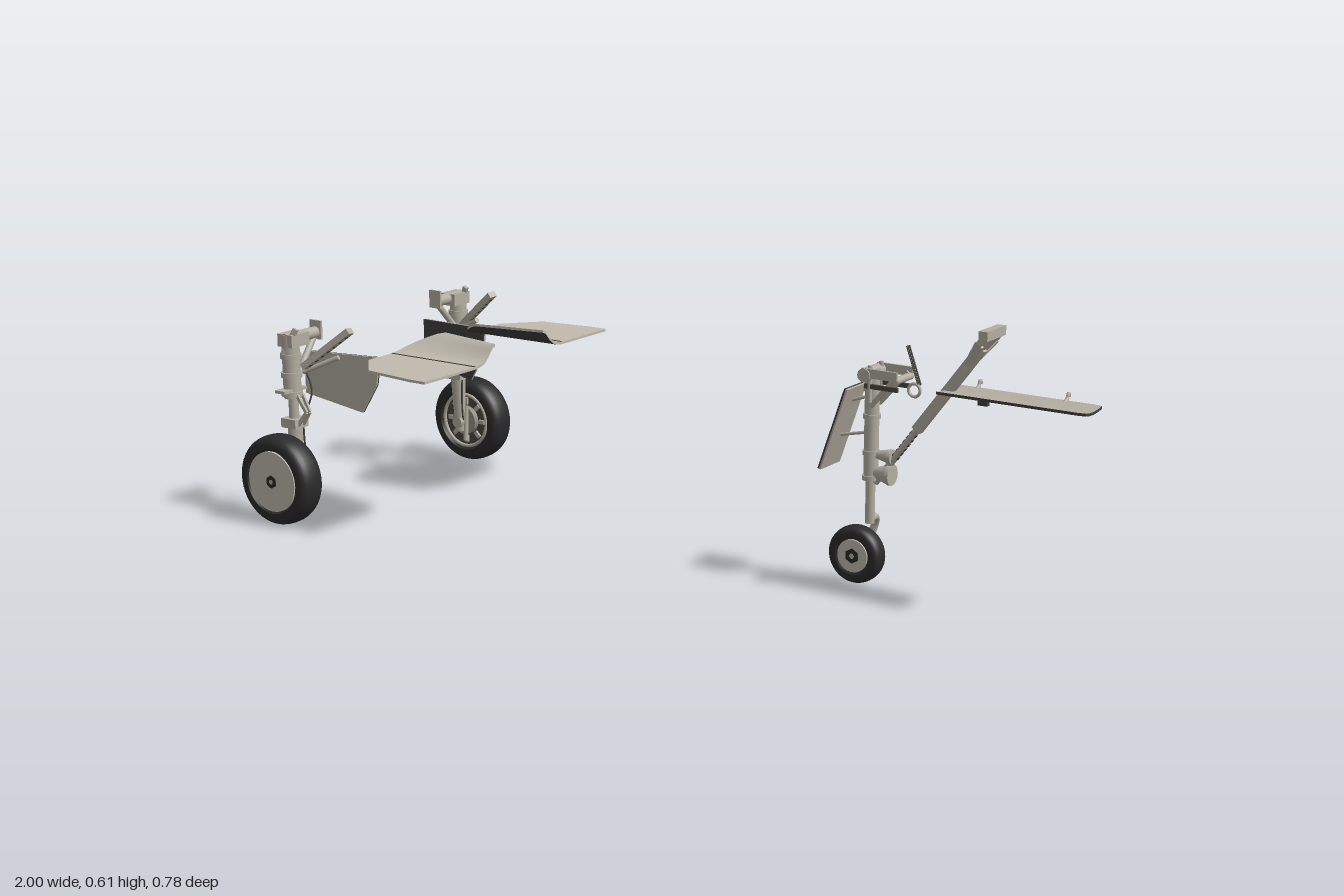
import * as THREE from 'three';

const mat = (name, color, side = THREE.FrontSide) => {
  const m = new THREE.MeshStandardMaterial({ color, side });
  m.name = name;
  return m;
};
const paint = mat('warm grey paint', 0xb4aea1, THREE.DoubleSide);
const pale = mat('pale grey paint', 0xc0baae, THREE.DoubleSide);
const darkSkin = mat('dark door skin', 0x3e3e3e, THREE.DoubleSide);
const rubber = mat('tyre rubber', 0x2a2a2a, THREE.DoubleSide);
const metal = mat('dark metal', 0x4a4843);
const steel = mat('grey steel', 0x958f83);

const V = (x, y, z) => new THREE.Vector3(x, y, z);

function add(parent, name, geo, material, p = [0, 0, 0], r = [0, 0, 0]) {
  const m = new THREE.Mesh(geo, material);
  m.name = name;
  m.position.set(...p);
  m.rotation.set(...r);
  parent.add(m);
  return m;
}
const box = (g, name, size, p, m = paint, r) => add(g, name, new THREE.BoxGeometry(...size), m, p, r);

// Round rod between two points
function rod(g, name, a, b, r, m = paint, r2 = r) {
  const A = V(...a), B = V(...b), d = B.clone().sub(A);
  const o = add(g, name, new THREE.CylinderGeometry(r2, r, d.length(), 16), m);
  o.position.copy(A).add(B).multiplyScalar(0.5);
  o.quaternion.setFromUnitVectors(V(0, 1, 0), d.normalize());
  return o;
}

// Flat link between two points; local z of the link stays near world z
function link(g, name, a, b, w, t, m = paint) {
  const A = V(...a), B = V(...b), y = B.clone().sub(A), len = y.length();
  y.normalize();
  const x = y.clone().cross(V(0, 0, 1)).normalize(), z = x.clone().cross(y);
  const o = add(g, name, new THREE.BoxGeometry(w, len, t), m);
  o.position.copy(A).add(B).multiplyScalar(0.5);
  o.quaternion.setFromRotationMatrix(new THREE.Matrix4().makeBasis(x, y, z));
  return o;
}

function tube(g, name, pts, r, m) {
  const c = new THREE.CatmullRomCurve3(pts.map(p => V(...p)));
  return add(g, name, new THREE.TubeGeometry(c, 20, r, 8), m);
}

// Surface through rows of points
function sheet(g, name, rows, m) {
  const n = rows[0].length, idx = [];
  for (let i = 0; i < rows.length - 1; i++)
    for (let j = 0; j < n - 1; j++) {
      const a = i * n + j, b = a + n;
      idx.push(a, a + 1, b, b, a + 1, b + 1);
    }
  const geo = new THREE.BufferGeometry();
  geo.setAttribute('position', new THREE.Float32BufferAttribute(rows.flat(2), 3));
  geo.setIndex(idx);
  geo.computeVertexNormals();
  return add(g, name, geo, m);
}

// Thin curved door closed by a rim; rows run so that the first face direction is up for s = 1
function curvedDoor(g, rows, top, rimMat, s) {
  const t = 0.003, lift = (p, d) => [p[0], p[1] + d, p[2]];
  const up = s > 0 ? rows : [...rows].reverse();
  sheet(g, 'doorInside', up.map(r => r.map(p => lift(p, t))), top);
  sheet(g, 'doorSkin', [...up].reverse().map(r => r.map(p => lift(p, -t))), darkSkin);
  const sides = [up[0], [...up.at(-1)].reverse(), up.map(r => r[0]).reverse(), up.map(r => r.at(-1))];
  for (const side of sides) sheet(g, 'doorRim', side.map(p => [lift(p, t), lift(p, -t)]), rimMat);
}

function plateGeo(pts, depth) {
  return new THREE.ExtrudeGeometry(new THREE.Shape(pts.map(p => new THREE.Vector2(...p))), { depth, bevelEnabled: false });
}

// Tyre with hub discs, axle along z; s is the outer side
function wheel(g, r, w, hub, cap, p, s) {
  const wg = new THREE.Group();
  wg.name = 'wheel';
  wg.position.set(...p);
  g.add(wg);
  const h = w / 2, prof = [[hub, -h * 0.8], [hub + 0.004, -h * 0.97]];
  const mid = r - h * 0.85;
  for (let i = 0; i <= 14; i++) {
    const a = -Math.PI / 2 + Math.PI * i / 14, c = Math.cos(a), q = Math.sin(a);
    prof.push([mid + (r - mid) * Math.pow(Math.max(c, 0), 0.65), h * Math.sign(q) * Math.pow(Math.abs(q), 0.8)]);
  }
  prof.push([hub + 0.004, h * 0.97], [hub, h * 0.8]);
  const P = prof.map(q => new THREE.Vector2(...q));
  add(wg, 'tyre', new THREE.LatheGeometry(P, 48), rubber, [0, 0, 0], [Math.PI / 2, 0, 0]);
  const disc = (name, rad, t, z, m, seg = 40) =>
    add(wg, name, new THREE.CylinderGeometry(rad, rad, t, seg), m, [0, 0, z * s], [Math.PI / 2, 0, 0]);
  disc('hubCore', hub * 1.01, w * 0.6, 0, metal);
  disc('hubCover', hub * 0.99, w * 0.1, h * 0.84, pale);
  disc('hubCap', cap, 0.003, h * 0.95, rubber, 6);
  disc('hubPin', cap * 0.35, 0.003, h * 0.97, paint, 12);
  // Brake unit on the inner side
  disc('brakeDisc', hub * 0.5, w * 0.3, -h * 0.7, steel);
  add(wg, 'rimRing', new THREE.TorusGeometry(hub * 0.93, hub * 0.06, 8, 40), paint, [0, 0, -h * 0.8 * s]);
  for (let i = 0; i < 8; i++) {
    const a = i * Math.PI / 4;
    box(wg, 'brakeBlock', [hub * 0.25, hub * 0.14, w * 0.12],
      [Math.cos(a) * hub * 0.68, Math.sin(a) * hub * 0.68, -h * 0.65 * s], paint, [0, 0, a]);
  }
}

function mainGear(s) {
  const g = new THREE.Group();
  g.name = s > 0 ? 'mainGearFrontSide' : 'mainGearBackSide';
  const X = -0.893, at = (x, y, z) => [x, y, z * s];
  wheel(g, 0.108, 0.072, 0.073, 0.016, at(X, 0.108, 0.354), s);
  rod(g, 'axle', at(X, 0.109, 0.29), at(X, 0.109, 0.345), 0.015);
  // Leg, clevis and shock strut
  rod(g, 'lowerLeg', at(X, 0.085, 0.305), at(X, 0.235, 0.299), 0.013, paint, 0.019);
  box(g, 'clevis', [0.045, 0.022, 0.045], at(X, 0.235, 0.302));
  rod(g, 'piston', at(X, 0.23, 0.303), at(X, 0.31, 0.303), 0.012);
  rod(g, 'shockStrut', at(X, 0.295, 0.305), at(X, 0.448, 0.306), 0.021);
  for (const y of [0.3, 0.345, 0.39])
    rod(g, 'collar', at(X, y, 0.306), at(X, y + 0.012, 0.306), 0.025);
  box(g, 'lug', [0.03, 0.007, 0.075], at(X, 0.315, 0.31));
  // Torque links
  for (const k of [-0.009, 0.009]) {
    link(g, 'torqueLinkUpper', at(X + 0.02, 0.305, 0.303 + k), at(X + 0.045, 0.265, 0.303 + k * 0.6), 0.008, 0.006);
    link(g, 'torqueLinkLower', at(X + 0.045, 0.265, 0.303 + k * 0.6), at(X + 0.015, 0.225, 0.303 + k), 0.008, 0.006);
  }
  rod(g, 'brakeRod', at(X + 0.015, 0.06, 0.306), at(X + 0.015, 0.15, 0.312), 0.006);
  tube(g, 'hydraulicHose', [at(X + 0.02, 0.37, 0.285), at(X + 0.035, 0.31, 0.277), at(X + 0.02, 0.24, 0.292), at(X + 0.018, 0.16, 0.291), at(X + 0.01, 0.1, 0.305)], 0.0022, metal);
  // Pivot crosstube with its end flange
  box(g, 'strutHead', [0.045, 0.03, 0.06], at(X, 0.434, 0.295));
  rod(g, 'pivotTube', at(X, 0.437, 0.325), at(X, 0.437, 0.217), 0.014);
  box(g, 'pivotFlange', [0.035, 0.045, 0.006], at(X, 0.443, 0.218));
  rod(g, 'sideBrace', at(X, 0.43, 0.225), at(X + 0.01, 0.335, 0.305), 0.008);
  // Folding drag brace with dark lightening holes
  const a = V(...at(-0.865, 0.37, 0.293)), b = V(...at(-0.745, 0.465, 0.262));
  const brace = link(g, 'dragBrace', a.toArray(), b.toArray(), 0.015, 0.022);
  for (let i = -3; i <= 3; i++)
    add(brace, 'braceHole', new THREE.CylinderGeometry(0.005, 0.005, 0.0165, 12), metal, [0, i * 0.02, 0], [0, 0, Math.PI / 2]);
  link(g, 'retractLink', at(-0.9, 0.4, 0.325), at(-0.87, 0.462, 0.31), 0.012, 0.009);
  rod(g, 'retractJack', at(-0.875, 0.355, 0.285), at(-0.79, 0.395, 0.255), 0.006);

  // Door beside the leg: pale outboard, dark inboard
  const door = new THREE.Group();
  door.name = 'legDoor';
  door.position.set(-0.825, 0, 0.206 * s);
  door.rotation.y = 0.11 * s;
  g.add(door);
  const outline = [[-0.105, 0.285], [0.058, 0.255], [0.1, 0.325], [0.11, 0.393], [-0.105, 0.388]];
  add(door, 'doorInside', plateGeo(outline, 0.005), paint, [0, 0, s > 0 ? 0 : -0.005]);
  add(door, 'doorSkin', plateGeo(outline, 0.004), darkSkin, [0, 0, s > 0 ? -0.004 : 0]);

  // Belly door: flat, then curling up towards the centre line, more tightly at its inboard end
  const bayDoor = new THREE.Group();
  bayDoor.name = 'bellyDoor';
  g.add(bayDoor);
  // x, z, y at the outboard end, then x, z at the inboard end
  const rows = [[-0.5, 0.342, 0.395, -0.455, 0.342], [-0.635, 0.325, 0.395, -0.455, 0.325], [-0.706, 0.245, 0.395, -0.455, 0.245],
    [-0.708, 0.162, 0.395, -0.455, 0.162], [-0.707, 0.138, 0.398, -0.455, 0.142], [-0.705, 0.118, 0.403, -0.455, 0.129],
    [-0.69, 0.096, 0.413, -0.455, 0.117], [-0.668, 0.079, 0.424, -0.455, 0.107], [-0.648, 0.067, 0.432, -0.455, 0.1], [-0.63, 0.058, 0.436, -0.455, 0.09]]
    .map(([x0, z0, y, x1, z1]) => [0, 0.25, 0.5, 0.75, 1].map(t => at(x0 + (x1 - x0) * t, y, z0 + (z1 - z0) * t)));
  // Rows run from high z to low z on the front side
  curvedDoor(bayDoor, rows, pale, pale, -s);
  rod(bayDoor, 'hingeLine', at(-0.706, 0.398, 0.163), at(-0.456, 0.398, 0.163), 0.0018, metal);
  return g;
}

function noseGear() {
  const g = new THREE.Group();
  g.name = 'noseGear';
  const X = 0.493;
  wheel(g, 0.064, 0.046, 0.037, 0.017, [0.463, 0.0735, 0], 1);
  // One-sided fork
  tube(g, 'fork', [[X, 0.155, 0.005], [X, 0.157, -0.022], [0.485, 0.14, -0.04], [0.475, 0.11, -0.04], [0.463, 0.065, -0.03]], 0.0085, paint);
  rod(g, 'axle', [0.463, 0.0735, -0.034], [0.463, 0.0735, 0.019], 0.008);
  // Strut
  rod(g, 'piston', [X, 0.148, 0], [X, 0.26, 0], 0.0105);
  rod(g, 'shockStrut', [X, 0.245, 0], [X, 0.49, 0], 0.016);
  for (const y of [0.245, 0.3, 0.38, 0.44]) rod(g, 'collar', [X, y, 0], [X, y + 0.01, 0], 0.019);
  // Head frame
  for (const s of [-1, 1]) {
    box(g, 'headPlate', [0.085, 0.02, 0.006], [0.528, 0.485, 0.034 * s]);
    box(g, 'headRail', [0.08, 0.01, 0.006], [0.528, 0.455, 0.025 * s], metal);
    link(g, 'headStrut', [0.5, 0.41, 0.018 * s], [0.565, 0.485, 0.024 * s], 0.01, 0.006);
    rod(g, 'steeringJack', [0.5, 0.42, 0.024 * s], [0.5, 0.5, 0.024 * s], 0.005);
  }
  rod(g, 'trunnion', [X, 0.48, -0.04], [X, 0.48, 0.04], 0.015);
  rod(g, 'crossPin', [0.565, 0.475, -0.035], [0.565, 0.475, 0.035], 0.008);
  for (const z of [-0.026, -0.02, -0.014]) rod(g, 'thinLever', [0.595, 0.46, z], [0.565, 0.543, z], 0.0015, metal);
  add(g, 'pulley', new THREE.TorusGeometry(0.014, 0.0035, 8, 20), paint, [0.585, 0.45, -0.015]);
  // Lamps
  for (const [y, r] of [[0.262, 0.023], [0.302, 0.016]]) {
    rod(g, 'lampBody', [0.505, y, 0], [0.54, y, 0], r * 0.5, paint, r);
    rod(g, 'lampFace', [0.538, y, 0], [0.546, y, 0], r);
  }
  // Long diagonal brace with flared top
  const A = V(0.505, 0.24, 0), B = V(0.775, 0.6, 0), along = t => A.clone().lerp(B, t).toArray();
  rod(g, 'braceRod', along(0), along(0.55), 0.0075);
  link(g, 'braceBeam', along(0.36), along(0.9), 0.022, 0.016);
  for (let i = 0; i < 6; i++)
    box(g, 'braceStud', [0.0155, 0.008, 0.008], along(0.18 + i * 0.03), metal, [0, 0, -0.64]);
  const yoke = new THREE.Group();
  yoke.name = 'braceYoke';
  yoke.position.copy(A.clone().lerp(B, 0.8));
  yoke.rotation.set(0, Math.PI / 2, 0);
  const lean = new THREE.Group();
  lean.name = 'yokeArms';
  lean.rotation.x = Math.atan2(0.27, 0.36);
  yoke.add(lean);
  g.add(yoke);
  add(lean, 'yokePlate', plateGeo([[-0.009, 0], [0.009, 0], [0.042, 0.065], [0.042, 0.085], [-0.042, 0.085], [-0.042, 0.065]], 0.012), paint, [0, 0, -0.006]);
  for (const s of [-1, 1]) box(lean, 'yokeRib', [0.006, 0.065, 0.02], [0.02 * s, 0.035, 0], paint, [0, 0, -0.47 * s]);
  box(g, 'yokeBar', [0.02, 0.02, 0.084], [0.77, 0.598, 0]);

  // Leg door behind the strut, leaning
  const door = new THREE.Group();
  door.name = 'legDoor';
  door.position.set(0.42, 0.353, 0);
  door.rotation.z = -0.33;
  g.add(door);
  box(door, 'doorInside', [0.004, 0.194, 0.082], [0.002, 0, 0]);
  box(door, 'doorSkin', [0.004, 0.194, 0.082], [-0.002, 0, 0], darkSkin);
  for (const y of [-0.02, 0.06]) rod(g, 'doorRod', [0.425 + y * 0.33, 0.353 + y, 0], [X, 0.37 + y, 0], 0.0035);

  // Forward bay door, slightly dished
  const bayDoor = new THREE.Group();
  bayDoor.name = 'forwardBayDoor';
  g.add(bayDoor);
  const rows = [0.038, 0.025, 0, -0.025, -0.042].map(z => [0.665, 0.98, 1].map((x, i) =>
    [x, 0.462 + 2.5 * z * z, z * (i === 2 ? 0.93 : 1)]));
  curvedDoor(bayDoor, rows, paint, darkSkin, -1);
  for (const x of [0.72, 0.92]) tube(bayDoor, 'doorHinge', [[x, 0.466, -0.035], [x, 0.472, -0.046], [x, 0.482, -0.052], [x, 0.476, -0.056]], 0.004, paint);
  box(bayDoor, 'doorLatch', [0.022, 0.016, 0.012], [0.755, 0.452, 0], darkSkin);
  return g;
}

export function createModel() {
  const model = new THREE.Group();
  model.name = 'landingGear';
  model.add(mainGear(1), mainGear(-1), noseGear());
  return model;
}
